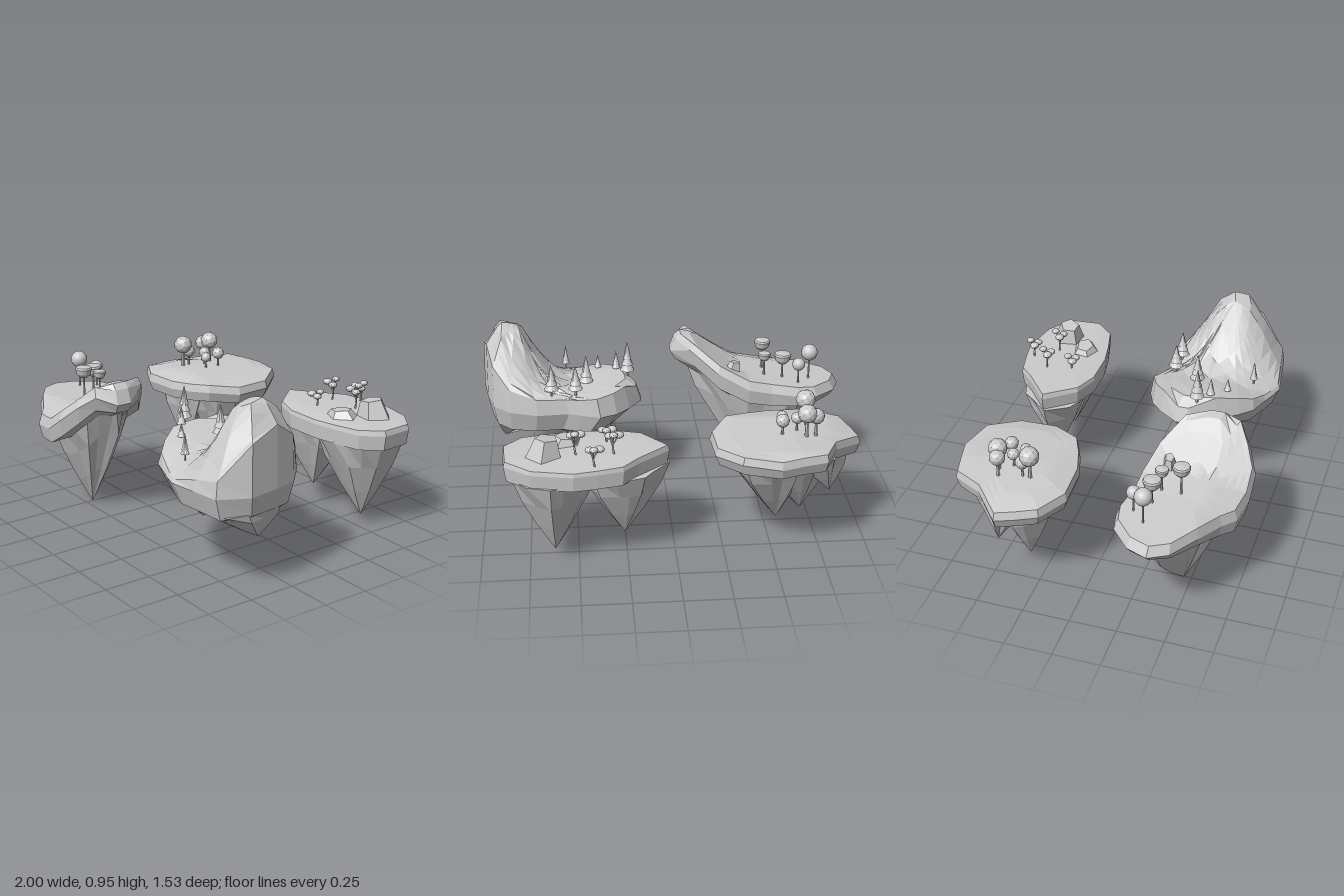
import * as THREE from 'three';

const stone = new THREE.MeshStandardMaterial({ color: 0xcccccc, flatShading: true });
const smooth = new THREE.MeshStandardMaterial({ color: 0xcccccc });

// Piecewise-linear curve through [input, output] pairs
const curve = (...pts) => v => {
  if (v <= pts[0][0]) return pts[0][1];
  for (let i = 1; i < pts.length; i++) {
    const [a, fa] = pts[i - 1], [b, fb] = pts[i];
    if (v <= b) return fa + (fb - fa) * (v - a) / (b - a);
  }
  return pts[pts.length - 1][1];
};

function add(parent, name, geometry, x = 0, y = 0, z = 0, material = stone) {
  const mesh = new THREE.Mesh(geometry, material);
  mesh.name = name;
  mesh.position.set(x, y, z);
  parent.add(mesh);
  return mesh;
}

// Skin over rings of points, listed from top to bottom; first and last rings are poles
function loft(rings) {
  const pos = [], n = rings[0].length;
  for (let i = 0; i + 1 < rings.length; i++) {
    for (let j = 0; j < n; j++) {
      const k = (j + 1) % n;
      const a = rings[i][j], b = rings[i][k], c = rings[i + 1][j], d = rings[i + 1][k];
      if (i > 0) pos.push(...a, ...b, ...c);
      if (i + 2 < rings.length) pos.push(...b, ...d, ...c);
    }
  }
  const g = new THREE.BufferGeometry();
  g.setAttribute('position', new THREE.Float32BufferAttribute(pos, 3));
  g.computeVertexNormals();
  return g;
}

// Floating island: slab from an outline plus hanging rock spikes
function island(name, { outline, hub, top, widest, bottom, edge, tuck, spikes }) {
  const group = new THREE.Group();
  group.name = name;
  const n = outline.length;
  const cx = outline.reduce((s, p) => s + p[0], 0) / n;
  const cz = outline.reduce((s, p) => s + p[1], 0) / n;
  const [hx, hz] = hub || [cx, cz];
  const ring = (s, height) => outline.map(([px, pz]) => {
    const x = hx + (px - hx) * s, z = hz + (pz - hz) * s;
    return [x, height(x, z), z];
  });
  const under = (x, z) => bottom(x, z) - 0.03;
  add(group, 'ground', loft([
    ...[0, 0.15, 0.3, 0.45, 0.6, 0.75, 0.87, edge].map(s => ring(s, top)),
    ring(1, widest), ring(tuck, bottom), ring(0.6, under), ring(0, under),
  ]));
  for (const { tip, at, size } of spikes) {
    const layer = t => outline.map(([px, pz], j) => {
      const bump = 1 + 0.1 * Math.sin(j * 2.3 + tip[0] * 9) * Math.min(1, t * 3);
      const x0 = at[0] + (px - cx) * size[0], z0 = at[1] + (pz - cz) * size[1];
      const w = (1 - t) * bump * (1 + 0.2 * t);
      const mx = at[0] + (tip[0] - at[0]) * t, mz = at[1] + (tip[2] - at[1]) * t;
      const y0 = bottom(x0, z0) + 0.01;
      return [mx + (x0 - at[0]) * w, y0 + (tip[1] - y0) * t, mz + (z0 - at[1]) * w];
    });
    const cap = outline.map(() => [at[0], bottom(...at), at[1]]);
    add(group, 'rockSpike', loft([cap, ...[0, 0.3, 0.65, 0.92, 1].map(layer)]));
  }
  return group;
}

function trunk(g, x, y, z, h, r) {
  add(g, 'trunk', new THREE.CylinderGeometry(r * 0.7, r, h, 6), x, y + h / 2, z);
}

function pine(g, x, y, z, h, r) {
  trunk(g, x, y - 0.02, z, h * 0.4, r * 0.2);
  for (let i = 0; i < 4; i++) {
    const s = 1 - i * 0.2;
    add(g, 'pineTier', new THREE.ConeGeometry(r * s, h * 0.36, 10), x, y + h * (0.3 + i * 0.175), z);
  }
}

function facetedTree(g, x, y, z, h, r) {
  trunk(g, x, y - 0.01, z, h - r, r * 0.22);
  add(g, 'crown', new THREE.IcosahedronGeometry(r, 1), x, y + h - r, z);
}

function roundTree(g, x, y, z, h, r) {
  trunk(g, x, y - 0.01, z, h - r, 0.006);
  add(g, 'crown', new THREE.SphereGeometry(r, 16, 12), x, y + h - r, z, smooth);
}

// Bowl-shaped crown with a shallow domed top
function bowlTree(g, x, y, z, h, r) {
  trunk(g, x, y - 0.01, z, h - r, 0.007);
  const profile = [[0, -1.2], [0.5, -1.1], [0.85, -0.7], [1, -0.1], [0.9, 0.1], [0, 0.25]];
  const pts = profile.map(([a, b]) => new THREE.Vector2(a * r, b * r));
  add(g, 'crown', new THREE.LatheGeometry(pts, 14), x, y + h - r * 0.25, z);
}

// Twisted little tree with leaf clumps on bent branches
function bentTree(g, x, y, z, h) {
  [[-0.024, 0.85, 0.014], [0.024, 0.8, 0.018], [0.004, 0.98, -0.02]].forEach(([dx, k, dz], i) => {
    const path = new THREE.CatmullRomCurve3([
      new THREE.Vector3(x, y - 0.01, z), new THREE.Vector3(x + 0.008, y + h * 0.4, z),
      new THREE.Vector3(x + dx, y + h * k, z + dz)]);
    add(g, 'branch', new THREE.TubeGeometry(path, 5, 0.004, 5));
    add(g, 'leafClump', new THREE.IcosahedronGeometry(0.026 - i * 0.002, 1), x + dx, y + h * k, z + dz)
      .scale.y = 0.65;
  });
}

// Tapered five-sided rock
function boulder(g, x, y, z, sx, sy, sz, turn, tilt) {
  const m = add(g, 'boulder', new THREE.CylinderGeometry(0.6, 1, 1, 5), x, y, z);
  m.scale.set(sx, sy, sz);
  m.rotation.set(0, turn, tilt);
}

export function createModel() {
  const model = new THREE.Group();
  model.name = 'floatingIslands';

  // Island with a rising lip, round and bowl-shaped trees
  const lipRise = curve([-1, 0.56], [-0.6, 0.59], [-0.42, 0.62], [-0.25, 0.73], [-0.13, 0.82], [-0.05, 0.75]);
  const lipFall = curve([0.58, 0], [0.77, 0.06]);
  const lipTop = (x, z) => lipRise(x) - lipFall(z);
  const lipDepth = curve([-1, 0.08], [-0.6, 0.13], [-0.3, 0.14], [-0.05, 0.12]);
  const lip = island('lipIsland', {
    outline: [[-1, 0.4], [-0.96, 0.29], [-0.85, 0.19], [-0.75, 0.17], [-0.6, 0.2], [-0.47, 0.205], [-0.3, 0.25],
      [-0.15, 0.35], [-0.05, 0.48], [-0.05, 0.56], [-0.12, 0.65], [-0.2, 0.71], [-0.3, 0.765], [-0.42, 0.765],
      [-0.57, 0.74], [-0.65, 0.68], [-0.8, 0.6], [-0.95, 0.5]],
    top: lipTop,
    widest: (x, z) => lipTop(x, z) - 0.05,
    bottom: (x, z) => lipTop(x, z) - lipDepth(x),
    edge: 0.94,
    tuck: 0.94,
    spikes: [{ tip: [-0.5, 0, 0.46], at: [-0.51, 0.47], size: [0.85, 0.68] }],
  });
  roundTree(lip, -0.82, 0.575, 0.33, 0.2, 0.046);
  roundTree(lip, -0.75, 0.58, 0.26, 0.145, 0.036);
  bowlTree(lip, -0.67, 0.585, 0.33, 0.15, 0.048);
  bowlTree(lip, -0.57, 0.59, 0.35, 0.14, 0.036);
  bowlTree(lip, -0.57, 0.59, 0.45, 0.18, 0.046);
  boulder(lip, -0.4, 0.645, 0.34, 0.055, 0.07, 0.04, 0.3, 0.2);

  // Island with a tall crag and pines
  const cragGround = curve([0.12, 0.58], [0.22, 0.645], [0.35, 0.63], [0.5, 0.6], [1, 0.6]);
  const cragDip = curve([0.45, 0], [0.69, 0.07]);
  const cragRise = curve([0.5, 0], [0.6, 0.04], [0.7, 0.17], [0.78, 0.33], [0.89, 0.36], [0.97, 0.25]);
  const cragSpread = curve([0.03, 0], [0.1, 0.06], [0.18, 0.38], [0.27, 0.82], [0.36, 1], [0.45, 0.92],
    [0.53, 0.66], [0.6, 0.33], [0.69, 0]);
  const cragBase = curve([0.13, 0.47], [0.3, 0.43], [0.45, 0.41], [0.72, 0.41], [0.9, 0.4], [1, 0.42]);
  const crag = island('cragIsland', {
    outline: [[0.13, 0.22], [0.2, 0.12], [0.27, 0.05], [0.36, 0.01], [0.45, 0.04], [0.53, 0.07], [0.62, 0.065],
      [0.7, 0.06], [0.85, 0.11], [0.94, 0.2], [0.975, 0.33], [1, 0.5], [0.92, 0.65], [0.77, 0.67], [0.62, 0.69],
      [0.54, 0.665], [0.48, 0.64], [0.37, 0.6], [0.3, 0.53], [0.22, 0.42], [0.13, 0.28]],
    hub: [0.8, 0.37],
    top: (x, z) => cragGround(x) - cragDip(z) + cragRise(x) * cragSpread(z),
    widest: () => 0.52,
    bottom: cragBase,
    edge: 0.96,
    tuck: 0.87,
    spikes: [
      { tip: [0.42, 0.2, 0.36], at: [0.45, 0.33], size: [0.6, 0.66] },
      { tip: [0.89, 0.26, 0.38], at: [0.78, 0.39], size: [0.42, 0.64] },
    ],
  });
  [[0.49, 0.63, 0.12, 0.15, 0.04], [0.62, 0.63, 0.12, 0.16, 0.04], [0.43, 0.61, 0.26, 0.17, 0.04],
    [0.2, 0.64, 0.32, 0.19, 0.04], [0.26, 0.64, 0.38, 0.11, 0.024], [0.36, 0.62, 0.45, 0.08, 0.02],
    [0.54, 0.6, 0.555, 0.12, 0.022]].forEach(p => pine(crag, ...p));

  // Flat island with faceted trees
  const meadowX = curve([-0.97, 0.56], [-0.82, 0.6], [-0.6, 0.62], [-0.3, 0.61], [-0.19, 0.59]);
  const meadowZ = curve([-0.74, 0.6], [-0.6, 0.63], [-0.25, 0.62], [-0.09, 0.585]);
  const meadowTop = (x, z) => Math.min(meadowX(x), meadowZ(z));
  const meadow = island('meadowIsland', {
    outline: [[-0.75, -0.68], [-0.63, -0.71], [-0.51, -0.74], [-0.32, -0.69], [-0.2, -0.54], [-0.19, -0.34],
      [-0.28, -0.19], [-0.39, -0.14], [-0.52, -0.1], [-0.74, -0.09], [-0.9, -0.18], [-0.94, -0.29],
      [-0.97, -0.39], [-0.82, -0.53]],
    top: meadowTop,
    widest: (x, z) => meadowTop(x, z) - 0.04,
    bottom: (x, z) => meadowTop(x, z) - 0.1,
    edge: 0.97,
    tuck: 0.94,
    spikes: [
      { tip: [-0.68, 0.115, -0.32], at: [-0.62, -0.37], size: [0.64, 0.62] },
      { tip: [-0.54, 0.11, -0.4], at: [-0.51, -0.42], size: [0.64, 0.68] },
      { tip: [-0.81, 0.28, -0.44], at: [-0.74, -0.43], size: [0.4, 0.42] },
    ],
  });
  [[-0.72, -0.46, 0.15, 0.042], [-0.67, -0.475, 0.18, 0.05], [-0.63, -0.41, 0.11, 0.032],
    [-0.55, -0.45, 0.12, 0.036], [-0.56, -0.37, 0.1, 0.03], [-0.69, -0.3, 0.18, 0.052],
    [-0.69, -0.34, 0.12, 0.036]].forEach(([x, z, h, r]) => facetedTree(meadow, x, 0.61, z, h, r));

  // Boulder island with bent trees
  const rockTop = curve([-0.77, 0.6], [-0.6, 0.61], [-0.4, 0.61], [-0.3, 0.6]);
  const rocky = island('boulderIsland', {
    outline: [[0.03, -0.51], [0.19, -0.64], [0.27, -0.72], [0.4, -0.75], [0.52, -0.77], [0.73, -0.73],
      [0.86, -0.63], [0.87, -0.46], [0.78, -0.36], [0.64, -0.325], [0.5, -0.3], [0.3, -0.3], [0.16, -0.35]],
    top: (x, z) => rockTop(z),
    widest: () => 0.58,
    bottom: () => 0.5,
    edge: 0.98,
    tuck: 0.97,
    spikes: [
      { tip: [0.62, 0.05, -0.54], at: [0.61, -0.535], size: [0.56, 0.92] },
      { tip: [0.26, 0.12, -0.51], at: [0.28, -0.515], size: [0.56, 0.76] },
    ],
  });
  boulder(rocky, 0.65, 0.645, -0.57, 0.1, 0.11, 0.09, 0.5, 0.15);
  boulder(rocky, 0.55, 0.62, -0.44, 0.1, 0.05, 0.08, 0.2, 0.12);
  [[0.31, -0.585, 0.12], [0.34, -0.45, 0.08], [0.41, -0.7, 0.1], [0.5, -0.58, 0.13]]
    .forEach(([x, z, h]) => bentTree(rocky, x, 0.605, z, h));

  model.add(lip, crag, meadow, rocky);
  return model;
}
